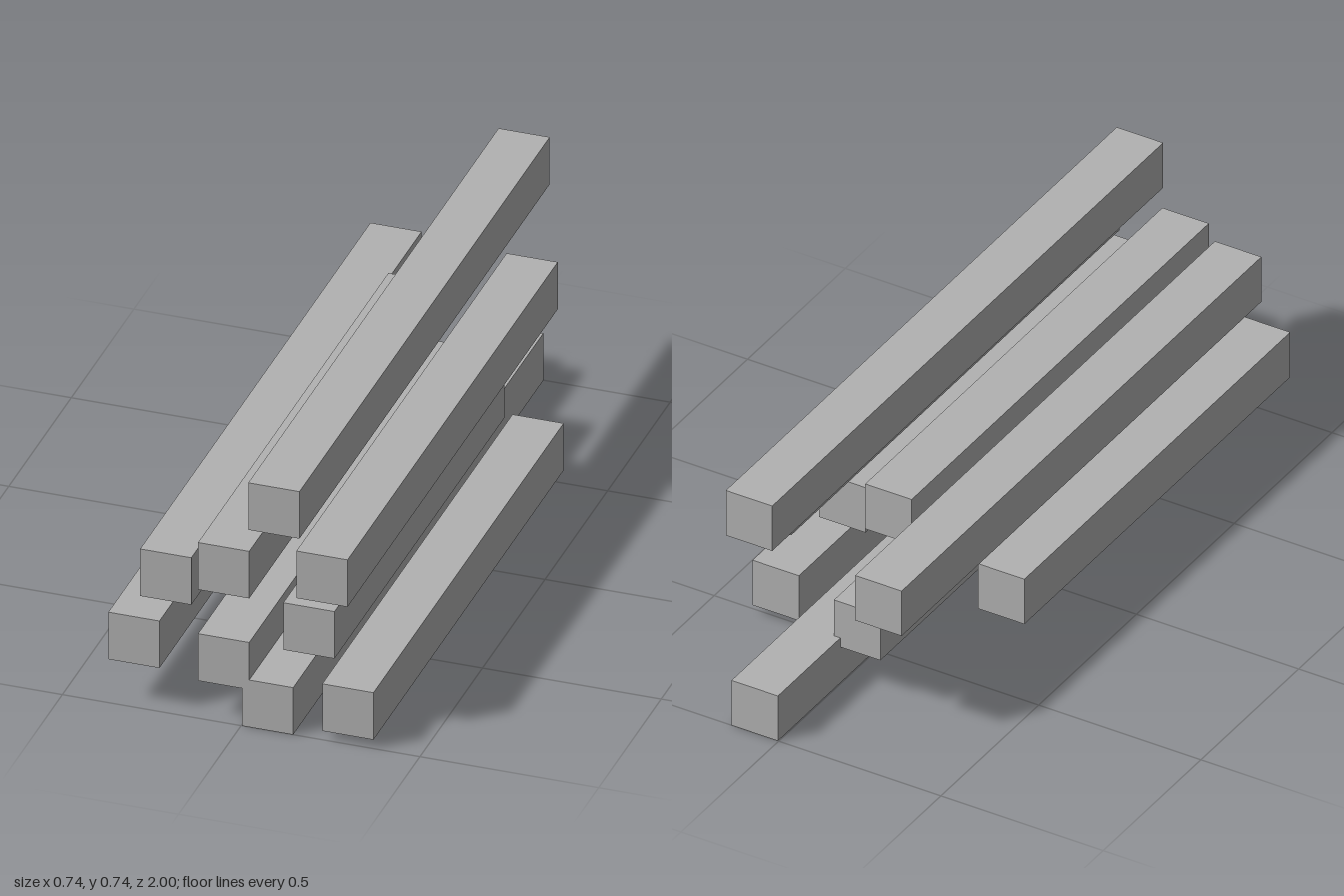
import * as THREE from 'three';

export function createModel() {
  const model = new THREE.Group();
  model.name = 'beamStack';

  const grey = new THREE.MeshStandardMaterial({ color: 0xb2b2b2 });
  grey.name = 'plain grey';

  const side = 0.143; // square section of every beam
  const front = 1;    // all front ends are flush

  // centre x, centre y, z of the back end
  const beams = [
    [0.0915, 0.6715, -1],
    [0.226, 0.4895, -0.68],
    [-0.049, 0.4635, -0.52],
    [-0.211, 0.4135, -0.84],
    [0.1895, 0.3255, -0.36],
    [-0.3, 0.2045, -0.36],
    [-0.049, 0.1865, -0.68],
    [0.074, 0.0725, -1],
    [0.2985, 0.0995, -0.52],
  ];

  beams.forEach(([x, y, back], i) => {
    const length = front - back;
    const beam = new THREE.Mesh(new THREE.BoxGeometry(side, side, length), grey);
    beam.name = `beam${i + 1}`;
    beam.position.set(x, y, front - length / 2);
    model.add(beam);
  });

  return model;
}
